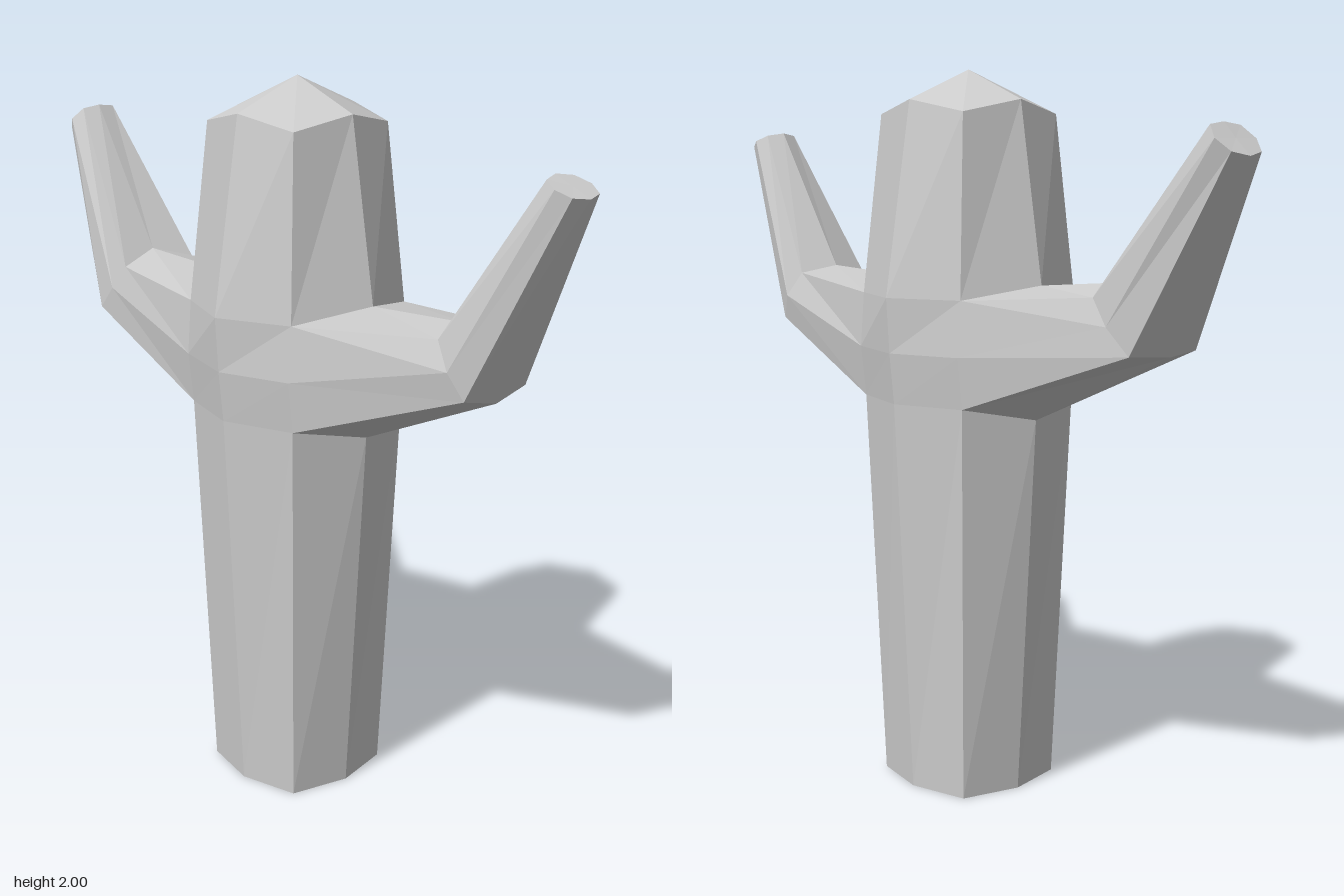
import * as THREE from 'three';

const material = new THREE.MeshStandardMaterial({ color: 0xcccccc, flatShading: true });

// Skin eight-point rings, counter-clockwise seen from the last ring.
// start / end are optional cap centres; skip(i, j) leaves a quad open.
function loft(name, rings, { start, end, skip = () => false }) {
  const pos = [];
  const tri = (...pts) => pts.forEach((p) => pos.push(...p));
  const last = rings.length - 1;
  for (let j = 0; j < 8; j++) {
    const k = (j + 1) % 8;
    for (let i = 0; i < last; i++) {
      if (skip(i, j)) continue;
      const [a, b, c, d] = [rings[i][j], rings[i][k], rings[i + 1][k], rings[i + 1][j]];
      tri(a, b, c);
      tri(a, c, d);
    }
    if (start) tri(start, rings[0][k], rings[0][j]);
    if (end) tri(end, rings[last][j], rings[last][k]);
  }
  const geometry = new THREE.BufferGeometry();
  geometry.setAttribute('position', new THREE.Float32BufferAttribute(pos, 3));
  geometry.computeVertexNormals();
  const mesh = new THREE.Mesh(geometry, material);
  mesh.name = name;
  return mesh;
}

const CX = 0.01; // trunk axis

// Trunk ring: corner half-width d at height y, front/back reach f at fy, side reach s at sy
function trunkRing(y, d, f, fy, s, sy, dz = d) {
  return [
    [CX, fy, f], [CX + d, y, dz], [CX + s, sy, 0], [CX + d, y, -dz],
    [CX, fy, -f], [CX - d, y, -dz], [CX - s, sy, 0], [CX - d, y, dz],
  ];
}

// Arm ring from five [x, y, half-depth] points running top to bottom, centred on z = cz
function armRing(side, points, cz = 0) {
  const front = points.map(([x, y, h]) => [x, y, cz + h]);
  const back = points.slice(1, 4).reverse().map(([x, y, h]) => [x, y, cz - h]);
  const ring = [...front, ...back];
  return side > 0 ? ring : ring.reverse();
}

// Arm root, matching the opening in the side of the trunk
function armRoot(side) {
  const x = (d) => CX + side * d;
  return armRing(side, [
    [x(0.293), 1.425, 0], [x(0.205), 1.39, 0.21], [x(0.205), 1.24, 0.222],
    [x(0.205), 1.1, 0.205], [x(0.275), 1.06, 0],
  ]);
}

export function createModel() {
  const model = new THREE.Group();
  model.name = 'cactus';

  // Trunk with a low pointed crown, open where the arms join
  model.add(loft('trunk', [
    trunkRing(0, 0.17, 0.21, 0, 0.21, 0),
    trunkRing(1.1, 0.205, 0.27, 1.1, 0.275, 1.06),
    trunkRing(1.24, 0.205, 0.285, 1.24, 0.285, 1.24, 0.222),
    trunkRing(1.39, 0.205, 0.295, 1.39, 0.293, 1.425, 0.21),
    trunkRing(1.88, 0.17, 0.21, 1.915, 0.21, 1.915),
  ], {
    start: [CX, 0, 0],
    end: [CX, 2, 0],
    skip: (i, j) => (i === 1 || i === 2) && [1, 2, 5, 6].includes(j),
  }));

  // Left arm
  model.add(loft('leftArm', [
    armRoot(1),
    armRing(1, [
      [0.62, 1.44, 0], [0.64, 1.42, 0.115], [0.69, 1.35, 0.135],
      [0.73, 1.28, 0.115], [0.735, 1.255, 0],
    ]),
    armRing(1, [
      [0.885, 1.84, 0], [0.9, 1.833, 0.05], [0.938, 1.816, 0.068],
      [0.976, 1.799, 0.05], [0.99, 1.793, 0],
    ]),
  ], { end: [0.938, 1.816, 0] }));

  // Right arm, twisted a little towards the back at the tip
  model.add(loft('rightArm', [
    armRoot(-1),
    armRing(-1, [
      [-0.6, 1.45, 0], [-0.57, 1.415, 0.125], [-0.625, 1.345, 0.135],
      [-0.695, 1.275, 0.125], [-0.72, 1.268, 0],
    ], 0.025),
    armRing(-1, [
      [-0.915, 1.842, 0], [-0.92, 1.835, 0.055], [-0.952, 1.803, 0.076],
      [-0.985, 1.772, 0.055], [-0.997, 1.762, 0],
    ], -0.025),
  ], { end: [-0.952, 1.803, -0.025] }));

  return model;
}
